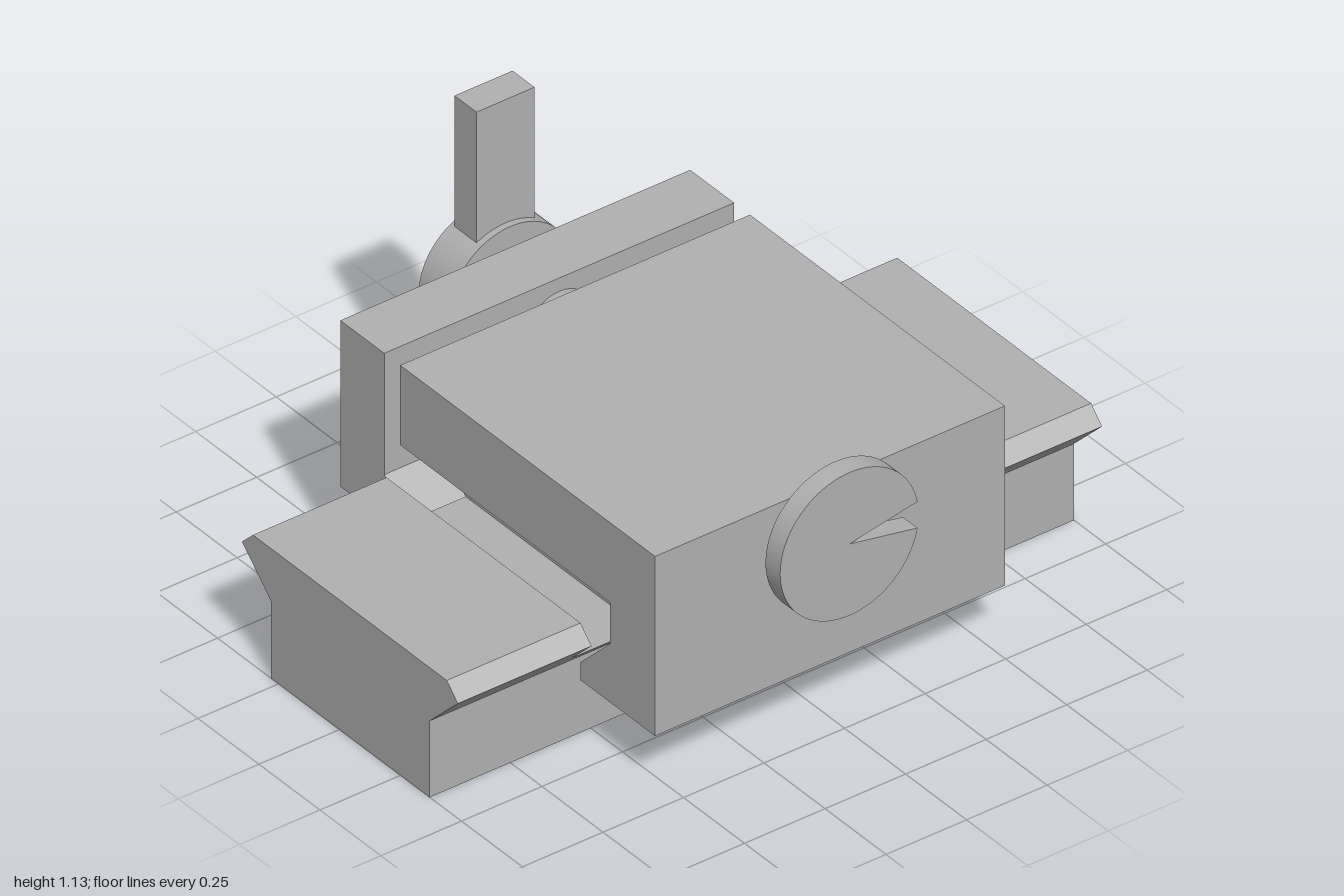
import * as THREE from 'three';
import { toCreasedNormals } from 'three/addons/utils/BufferGeometryUtils.js';

export function createModel() {
  const model = new THREE.Group();
  model.name = 'railClamp';
  const metal = new THREE.MeshStandardMaterial({ color: 0xb0b0b0 });
  metal.name = 'grey metal';

  const add = (name, geometry) => {
    const mesh = new THREE.Mesh(geometry, metal);
    mesh.name = name;
    model.add(mesh);
    return mesh;
  };

  // Extrudes a [z, y] profile along x from x0 to x1
  const bar = (name, profile, x0, x1) => {
    const shape = new THREE.Shape(profile.map(([z, y]) => new THREE.Vector2(-z, y)));
    const geometry = new THREE.ExtrudeGeometry(shape, { depth: x1 - x0, bevelEnabled: false });
    geometry.rotateY(Math.PI / 2).translate(x0, 0, 0);
    return add(name, geometry);
  };

  // Disc along z with a narrow wedge missing on the +x side
  const axisY = 0.565, gap = 0.185;
  const notchedDisc = (name, radius, z0, z1) => {
    const shape = new THREE.Shape();
    shape.moveTo(0, 0);
    shape.lineTo(radius * Math.cos(gap), radius * Math.sin(gap));
    shape.absarc(0, 0, radius, gap, Math.PI * 2 - gap, false);
    shape.closePath();
    const geometry = new THREE.ExtrudeGeometry(shape, { depth: z1 - z0, bevelEnabled: false, curveSegments: 56 });
    geometry.translate(0, axisY, z0);
    return add(name, toCreasedNormals(geometry, 0.5));
  };

  // Rail: continuous base below the groove floor
  bar('railBase', [[0.37, 0], [0.37, 0.23], [0.405, 0.265], [-0.315, 0.265], [-0.28, 0.23], [-0.28, 0]], -1, 1);

  // Rail lands between the three cross grooves
  const land = [[0.405, 0.265], [0.485, 0.345], [0.44, 0.39], [-0.355, 0.39], [-0.4, 0.345], [-0.315, 0.265]];
  for (const [x0, x1] of [[-1, -0.585], [-0.37, -0.16], [0.05, 0.265], [0.475, 1]]) {
    bar('railLand', land, x0, x1);
  }

  // Clamp body with its fixed front jaw
  bar('clampBody', [
    [0.69, 0.17], [0.69, 0.71], [-0.355, 0.71], [-0.355, 0.47],
    [0.505, 0.47], [0.505, 0.345], [0.385, 0.225], [0.385, 0.17],
  ], -0.543, 0.543);

  // Movable rear jaw
  bar('rearJaw', [
    [-0.6, 0.21], [-0.6, 0.71], [-0.42, 0.71], [-0.42, 0.345], [-0.295, 0.225], [-0.295, 0.21],
  ], -0.543, 0.543);

  // Cross bolt, its head and the lever hub
  notchedDisc('boltShaft', 0.105, -0.77, 0.71);
  notchedDisc('boltHead', 0.215, 0.71, 0.77);
  notchedDisc('leverHub', 0.19, -0.745, -0.62);

  // Upright lever
  add('lever', new THREE.BoxGeometry(0.18, 0.395, 0.09)).position.set(0, 0.928, -0.685);

  return model;
}
